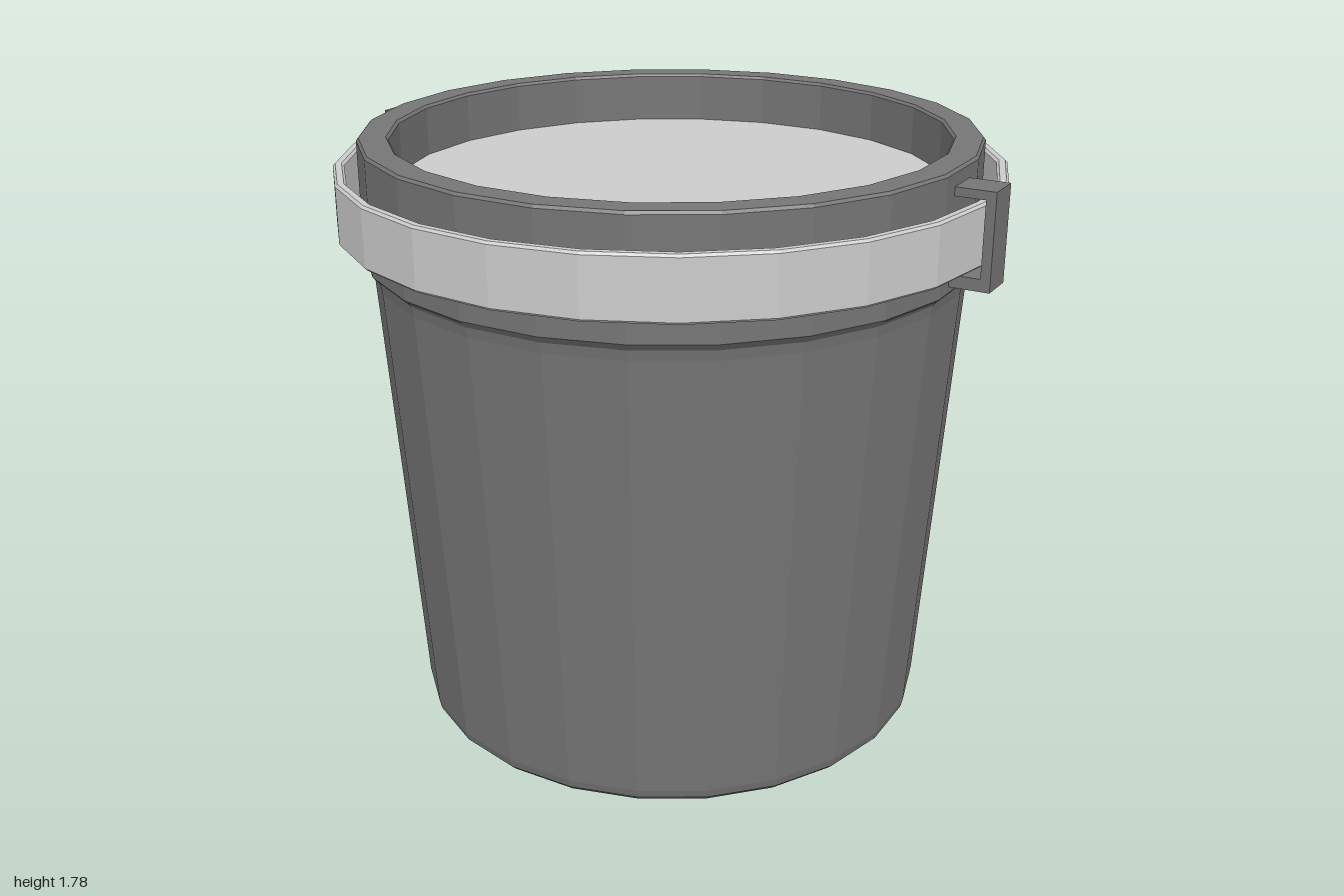
import * as THREE from 'three';

const dark = new THREE.MeshStandardMaterial({ color: 0x757575, flatShading: true });
const light = new THREE.MeshStandardMaterial({ color: 0xcccccc, flatShading: true });
const SIDES = 24;
const HALF = Math.PI / SIDES;

function part(name, geometry, material) {
  const mesh = new THREE.Mesh(geometry, material);
  mesh.name = name;
  return mesh;
}

// Lathe from [radius, height] pairs
function lathe(profile, sides, start) {
  const points = profile.map(([r, y]) => new THREE.Vector2(r, y));
  return new THREE.LatheGeometry(points, sides, start, Math.PI * 2);
}

export function createModel() {
  const group = new THREE.Group();

  // Tapered body with rounded base edge, flared under the rim
  group.add(part('bucketBody', lathe([
    [0, 0], [0.73, 0], [0.755, 0.008], [0.772, 0.025], [0.778, 0.05],
    [0.868, 1.39], [0.873, 1.42], [0.89, 1.44],
  ], SIDES, HALF), dark));

  // Thick rim, open in the middle down to the lid
  group.add(part('rim', lathe([
    [0.865, 1.435], [0.887, 1.435], [0.893, 1.442], [0.893, 1.772], [0.886, 1.78],
    [0.81, 1.78], [0.803, 1.772], [0.803, 1.62],
  ], SIDES, HALF), dark));

  // Recessed lid
  const disc = new THREE.CircleGeometry(0.804, SIDES, HALF);
  disc.rotateX(-Math.PI / 2).translate(0, 1.63, 0);
  group.add(part('lid', disc, light));

  // Flat handle band encircling the rim, slightly chamfered
  group.add(part('handleBand', lathe([
    [0.935, 1.527], [0.942, 1.52], [0.96, 1.52], [0.967, 1.527],
    [0.967, 1.69], [0.96, 1.697], [0.942, 1.697], [0.935, 1.69], [0.935, 1.527],
  ], 25, THREE.MathUtils.degToRad(-26.8)), light));

  // C-shaped brackets that hold the band on each side
  const profile = new THREE.Shape([
    [0.86, 1.46], [1, 1.46], [1, 1.735], [0.86, 1.735],
    [0.86, 1.71], [0.972, 1.71], [0.972, 1.495], [0.86, 1.495],
  ].map(([x, y]) => new THREE.Vector2(x, y)));
  for (const side of [1, -1]) {
    const geometry = new THREE.ExtrudeGeometry(profile, { depth: 0.11, bevelEnabled: false });
    geometry.translate(0, 0, -0.055);
    const bracket = part(side > 0 ? 'leftBracket' : 'rightBracket', geometry, dark);
    if (side < 0) bracket.rotation.y = Math.PI;
    group.add(bracket);
  }
  return group;
}
